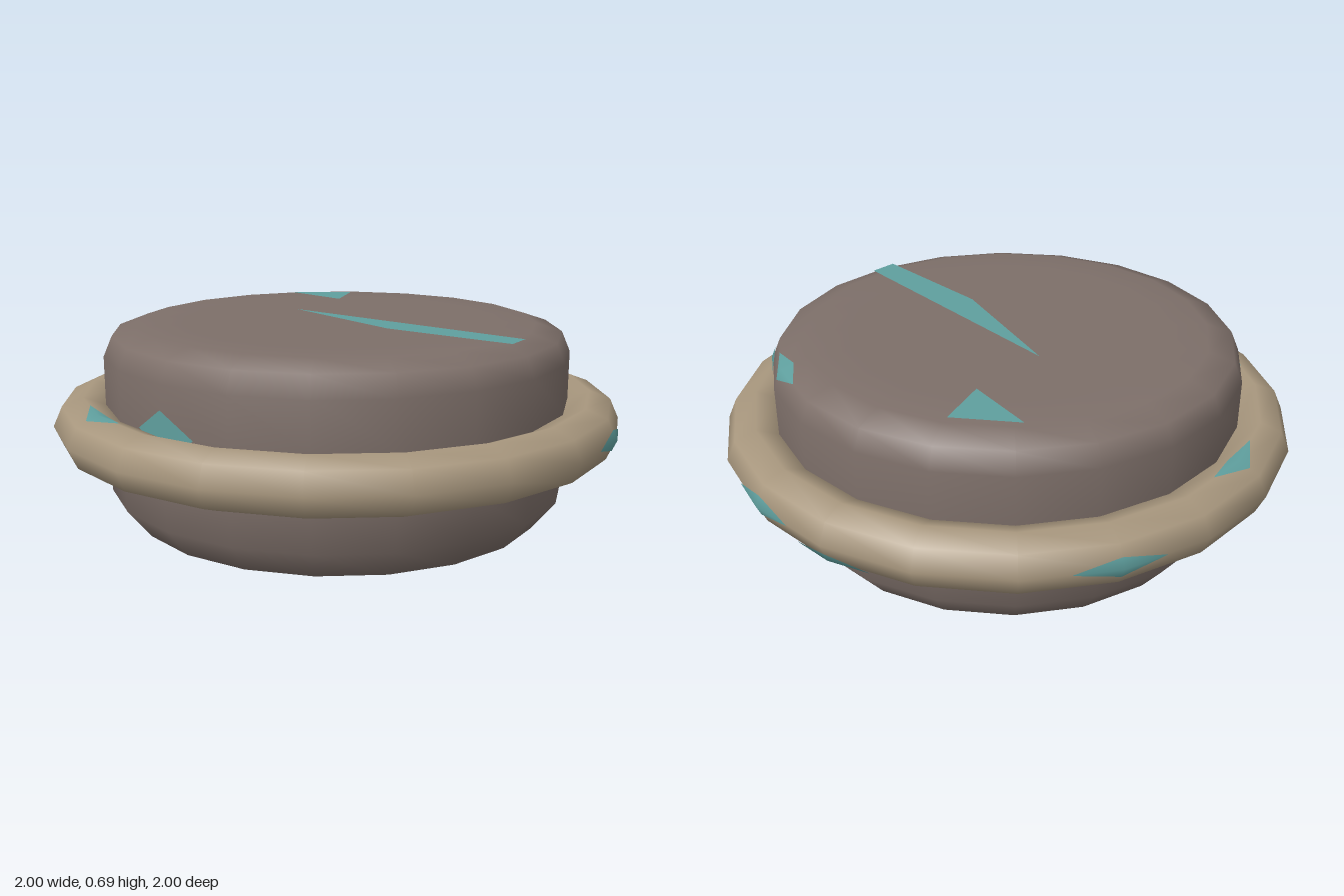
import * as THREE from 'three';

const SIDES = 20;
const paint = (color) => new THREE.MeshStandardMaterial({ color });
const bodyMat = paint(0x7d6f69);
const rimMat = paint(0xa8977e);
const accentMat = paint(0x5f9f9e);

// Profiles as (radius, height), running from the underside round to the top
const bodyProfile = [
  [0, 0], [0.55, 0], [0.73, 0], [0.81, 0.1], [0.82, 0.25], [0.82, 0.42],
  [0.82, 0.58], [0.79, 0.65], [0.7, 0.68], [0.55, 0.68], [0, 0.68],
].map(([r, y]) => new THREE.Vector2(r, y));

const rimProfile = Array.from({ length: 9 }, (_, k) => {
  const a = Math.PI + (k * Math.PI) / 4;
  return new THREE.Vector2(0.895 + 0.105 * Math.cos(a), 0.343 + 0.097 * Math.sin(a));
});

function addMesh(parent, name, geometry, material) {
  const mesh = new THREE.Mesh(geometry, material);
  mesh.name = name;
  parent.add(mesh);
}

// Point on a turned profile, lifted slightly off the surface
function surfacePoint(profile, i, j) {
  const i0 = Math.floor(i);
  const i1 = Math.min(i0 + 1, profile.length - 1);
  const p = profile[i0].clone().lerp(profile[i1], i - i0);
  const t = profile[Math.min(i0 + 1, profile.length - 1)].clone().sub(profile[Math.max(i0 - 1, 0)]).normalize();
  const r = p.x + t.y * 0.004;
  const y = p.y - t.x * 0.004;
  // Positions between two corners lie on the straight facet edge
  const j0 = Math.floor(j);
  const at = (n) => {
    const a = (n * 2 * Math.PI) / SIDES;
    return new THREE.Vector3(r * Math.sin(a), y, r * Math.cos(a));
  };
  return at(j0).lerp(at(j0 + 1), j - j0);
}

// Kite-shaped stain around one corner of a turned surface
function stainGeometry(profile, i, j) {
  const reach = 0.5;
  const points = [[i, j], [i, j + reach], [i + reach, j], [i, j - reach], [i - reach, j]]
    .map(([u, v]) => surfacePoint(profile, u, v));
  const geometry = new THREE.BufferGeometry().setFromPoints(points);
  geometry.setIndex([0, 1, 2, 0, 2, 3, 0, 3, 4, 0, 4, 1]);
  geometry.computeVertexNormals();
  return geometry;
}

// Flat streak given by (x, z) corners, facing up or down
function streakGeometry(corners, y, up) {
  const s = up ? -1 : 1;
  const shape = new THREE.Shape(corners.map(([x, z]) => new THREE.Vector2(x, s * z)));
  return new THREE.ShapeGeometry(shape).rotateX((s * Math.PI) / 2).translate(0, y, 0);
}

export function createModel() {
  const model = new THREE.Group();
  model.name = 'rimmedDisc';

  // Thick disc with rounded edges
  addMesh(model, 'discBody', new THREE.LatheGeometry(bodyProfile, SIDES), bodyMat);

  // Rounded ring about the middle
  addMesh(model, 'outerRim', new THREE.LatheGeometry(rimProfile, SIDES), rimMat);

  // Teal stains at [profile index, side index]
  const stains = new THREE.Group();
  stains.name = 'stains';
  for (const [i, j] of [[5, 17], [6, 5], [7, 6], [4, 4], [3, 5], [4, 12]]) {
    addMesh(stains, 'bodyStain', stainGeometry(bodyProfile, i, j), accentMat);
  }
  for (const [i, j] of [[4, 7], [3, 8], [3, 5], [6, 13], [4, 11], [6, 16], [4, 3]]) {
    addMesh(stains, 'rimStain', stainGeometry(rimProfile, i, j), accentMat);
  }

  // Teal streaks on the flat faces
  addMesh(stains, 'topStreak', streakGeometry([[-0.1, -0.24], [0.5, 0.53], [0.43, 0.6], [0.12, 0.24]], 0.683, true), accentMat);
  addMesh(stains, 'topChip', streakGeometry([[-0.03, -0.68], [0.2, -0.64], [0.11, -0.46]], 0.683, true), accentMat);
  addMesh(stains, 'undersideStreak', streakGeometry([[0.6, 0.34], [0.18, -0.25], [-0.2, -0.66], [0, -0.15]], -0.003, false), accentMat);
  model.add(stains);
  return model;
}
